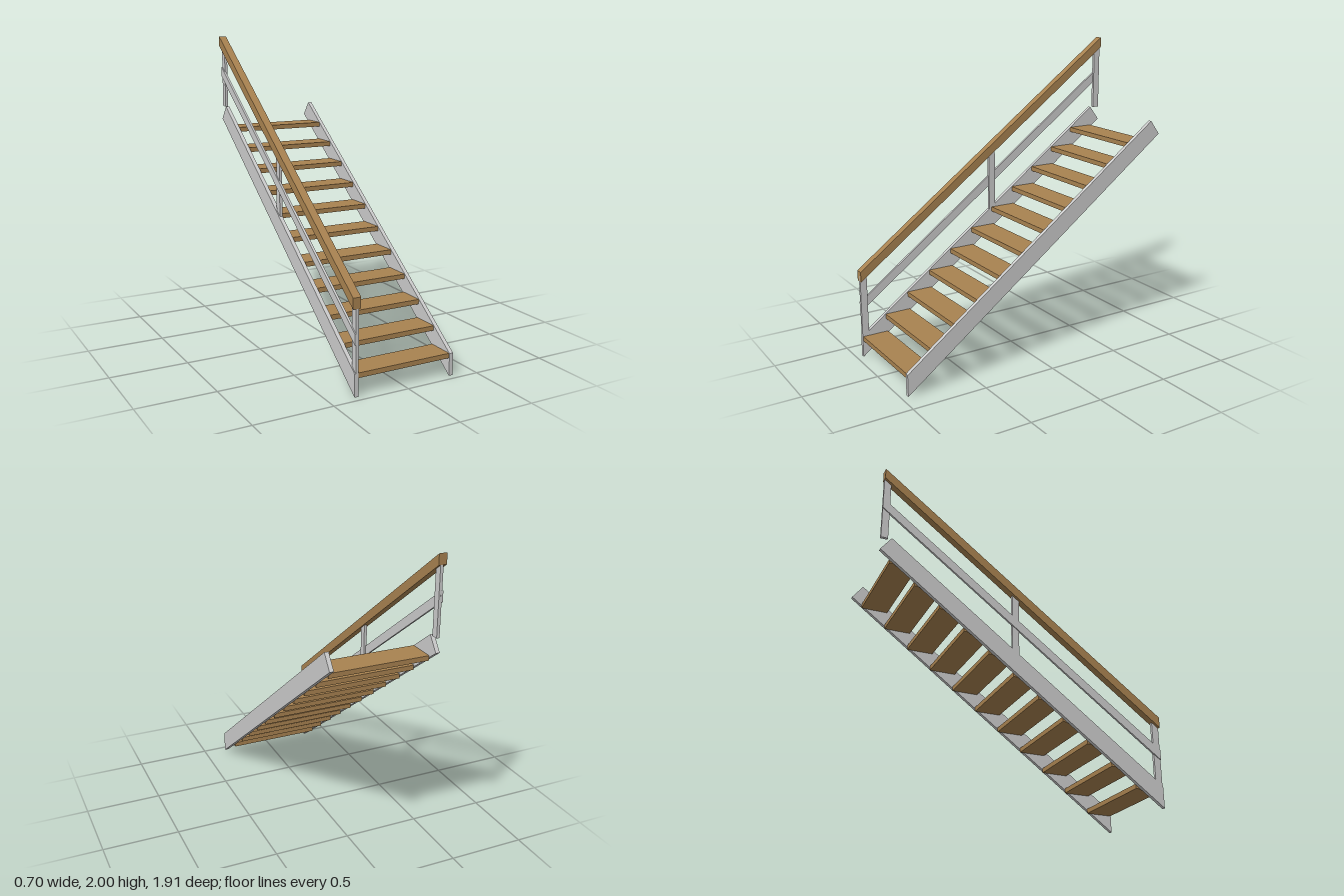
import * as THREE from 'three';

const metal = new THREE.MeshStandardMaterial({ color: 0xcccccc, flatShading: true });
const wood = new THREE.MeshStandardMaterial({ color: 0xa88250, flatShading: true });

// Flat plate: a side outline of [z, y] points, extruded from x0 to x1
function plate(name, outline, x0, x1, material) {
  const shape = new THREE.Shape(outline.map(([z, y]) => new THREE.Vector2(z, y)));
  const geometry = new THREE.ExtrudeGeometry(shape, { depth: x1 - x0, bevelEnabled: false });
  geometry.rotateY(-Math.PI / 2).translate(x1, 0, 0);
  const mesh = new THREE.Mesh(geometry, material);
  mesh.name = name;
  return mesh;
}

// Sloping bar with upright ends, given its lower edge at the front and back
function slopedBar(name, frontY, backY, height, x0, x1, material) {
  const zF = 0.957, zB = -0.955;
  return plate(name, [[zF, frontY], [zF, frontY + height], [zB, backY + height], [zB, backY]], x0, x1, material);
}

export function createModel() {
  const model = new THREE.Group();
  model.name = 'staircase';

  // Side stringers: upright cut at the foot, square cut at the top
  const stringer = [[0.957, 0], [0.957, 0.143], [-0.885, 1.505], [-0.955, 1.413]];
  model.add(plate('rightStringer', stringer, -0.341, -0.315, metal));
  model.add(plate('leftStringer', stringer, 0.323, 0.349, metal));

  // Open treads
  const treads = new THREE.Group();
  treads.name = 'treads';
  const treadGeometry = new THREE.BoxGeometry(0.638, 0.031, 0.178);
  for (let i = 0; i < 11; i++) {
    const tread = new THREE.Mesh(treadGeometry, wood);
    tread.name = 'tread';
    tread.position.set(0.004, 0.128 + i * 0.123, 0.864 - i * 0.166);
    treads.add(tread);
  }
  model.add(treads);

  // Railing on one side
  const railing = new THREE.Group();
  railing.name = 'railing';
  railing.add(slopedBar('handrail', 0.529, 1.932, 0.068, -0.354, -0.302, wood));
  railing.add(slopedBar('middleRail', 0.314, 1.716, 0.068, -0.341, -0.326, metal));

  // Posts, their tops tucked into the handrail
  for (const [z, bottom] of [[0.934, 0.143], [-0.047, 0.82], [-0.931, 1.503]]) {
    const top = 0.55 + (0.957 - z) * 0.734;
    const post = new THREE.Mesh(new THREE.BoxGeometry(0.019, top - bottom, 0.046), metal);
    post.name = 'post';
    post.position.set(-0.3245, (top + bottom) / 2, z);
    railing.add(post);
  }
  model.add(railing);
  return model;
}
